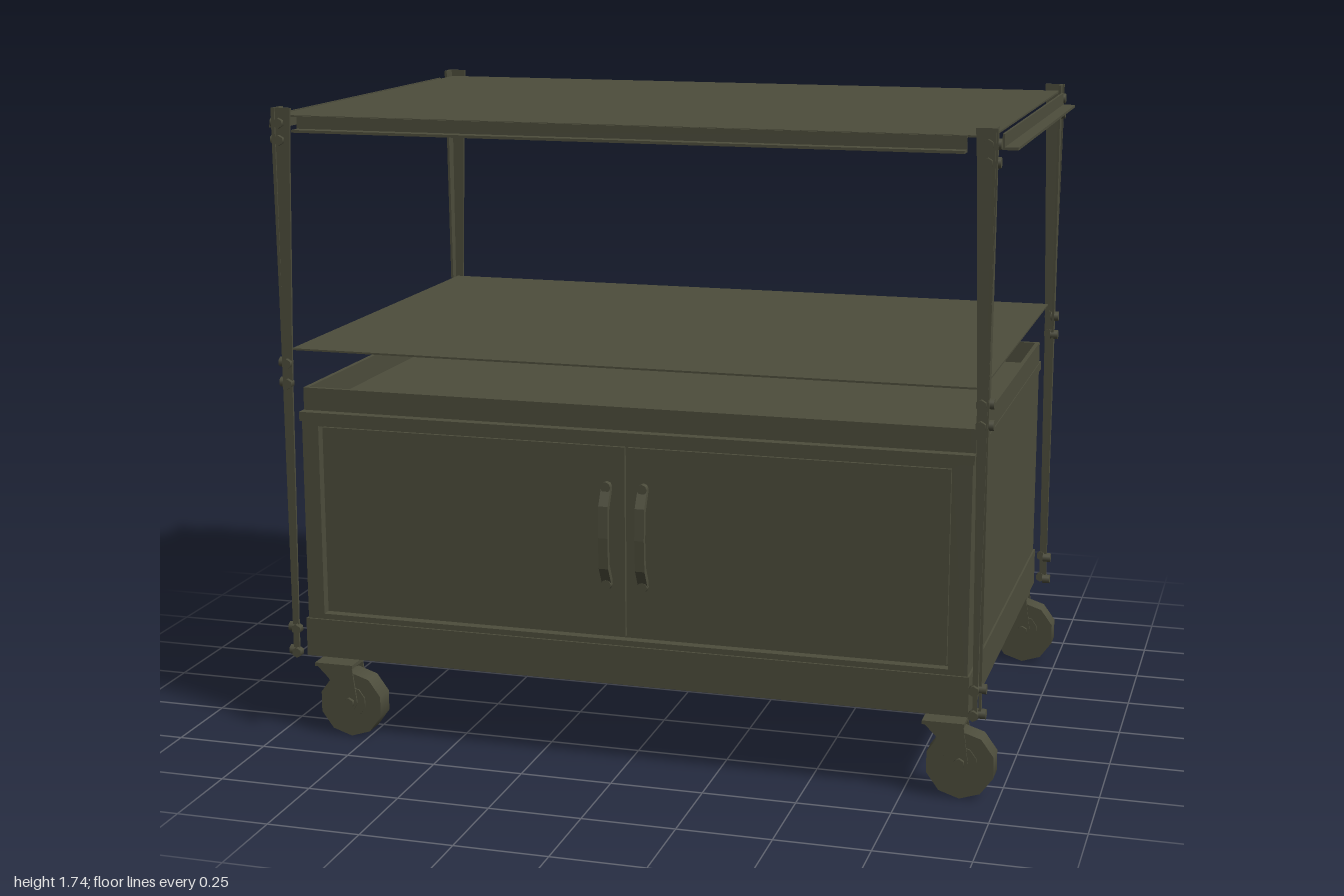
import * as THREE from 'three';

const olive = new THREE.MeshStandardMaterial({ color: 0x4d4d3c, side: THREE.DoubleSide });
olive.name = 'olive metal';

function add(parent, name, geometry, x = 0, y = 0, z = 0) {
  const mesh = new THREE.Mesh(geometry, olive);
  mesh.name = name;
  mesh.position.set(x, y, z);
  parent.add(mesh);
  return mesh;
}

// Box given by its minimum and maximum on each axis
function span(parent, name, x0, x1, y0, y1, z0, z1) {
  return add(parent, name, new THREE.BoxGeometry(x1 - x0, y1 - y0, z1 - z0),
    (x0 + x1) / 2, (y0 + y1) / 2, (z0 + z1) / 2);
}

function outline(points) {
  return new THREE.Shape(points.map(([x, y]) => new THREE.Vector2(x, y)));
}

function extrude(shape, depth) {
  return new THREE.ExtrudeGeometry(shape, { depth, bevelEnabled: false, curveSegments: 6 });
}

// Short disc whose axis runs along z
function disc(radius, depth, sides) {
  return new THREE.CylinderGeometry(radius, radius, depth, sides).rotateX(Math.PI / 2);
}

function cabinet() {
  const g = new THREE.Group();
  g.name = 'cabinet';
  span(g, 'body', -0.915, 0.915, 0.23, 0.915, -0.612, 0.585);

  // Front frame around the door opening
  const frame = outline([[-0.915, 0.23], [0.915, 0.23], [0.915, 0.915], [-0.915, 0.915]]);
  frame.holes.push(outline([[-0.868, 0.35], [-0.868, 0.88], [0.864, 0.88], [0.864, 0.35]]));
  add(g, 'frontFrame', extrude(frame, 0.027), 0, 0, 0.585);

  // Base tray and upper tray with a raised rim
  span(g, 'baseTray', -0.92, 0.92, 0.228, 0.335, -0.618, 0.618);
  span(g, 'upperLedge', -0.92, 0.92, 0.893, 0.918, -0.618, 0.618);
  for (const s of [-1, 1]) {
    span(g, 'sideRim', s * 0.912 - 0.006, s * 0.912 + 0.006, 0.9, 0.98, -0.59, 0.59);
    span(g, 'longRim', -0.918, 0.918, 0.9, 0.98, s * 0.584 - 0.006, s * 0.584 + 0.006);
  }

  // Double doors with bowed pulls
  span(g, 'rightDoor', -0.862, -0.005, 0.356, 0.874, 0.58, 0.597);
  span(g, 'leftDoor', 0.005, 0.858, 0.356, 0.874, 0.58, 0.597);
  const bow = outline([[0, 0.77], [0.012, 0.77], [0.04, 0.72], [0.045, 0.635], [0.04, 0.55],
    [0.012, 0.5], [0, 0.5], [0, 0.51], [0.026, 0.56], [0.032, 0.635], [0.026, 0.71], [0, 0.76]]);
  for (const x of [-0.053, 0.047]) {
    const pull = add(g, 'doorPull', extrude(bow, 0.026), x + 0.013, 0, 0.595);
    pull.rotation.y = -Math.PI / 2;
    for (const y of [0.5, 0.767]) add(g, 'pullScrew', disc(0.014, 0.02, 8), x, y, 0.605);
  }
  return g;
}

// Tapered angle-iron post; both flanges run inward from the outer corner
function post() {
  const g = new THREE.Group();
  g.name = 'cornerPost';
  const flange = extrude(outline([[0, 1.74], [0, 1.64], [-0.008, 1], [-0.014, 0.25],
    [-0.026, 0.25], [-0.034, 1], [-0.05, 1.64], [-0.055, 1.74]]), 0.007);
  add(g, 'frontFlange', flange, 0, 0, -0.012);
  add(g, 'sideFlange', flange, -0.005, 0, 0).rotation.y = -Math.PI / 2;
  for (const y of [1.7, 1.655, 1.055, 1, 0.31, 0.243]) {
    add(g, 'frontBolt', disc(0.014, 0.022, 6), -0.023, y, -0.004);
    add(g, 'sideBolt', disc(0.014, 0.022, 6), -0.004, y, -0.023).rotation.y = Math.PI / 2;
  }
  return g;
}

// Angle rail along x, with its outer face toward +z
function rail(length) {
  const g = new THREE.Group();
  g.name = 'topRail';
  span(g, 'railFace', -length / 2, length / 2, 1.68, 1.72, -0.04, -0.034);
  span(g, 'railLip', -length / 2, length / 2, 1.68, 1.687, -0.04, 0);
  return g;
}

// Trailing swivel caster
function caster() {
  const g = new THREE.Group();
  g.name = 'caster';
  add(g, 'wheel', disc(0.092, 0.062, 10), 0, 0.092, 0);
  add(g, 'hub', disc(0.045, 0.07, 10), 0, 0.1, 0);
  add(g, 'axle', disc(0.015, 0.1, 6), 0, 0.1, 0);
  span(g, 'forkTop', -0.1, 0.01, 0.197, 0.207, -0.04, 0.04);
  const cheek = extrude(outline([[-0.1, 0.205], [0.008, 0.205], [0.022, 0.1], [0.012, 0.08],
    [-0.012, 0.08], [-0.03, 0.1], [-0.06, 0.165]]), 0.005);
  for (const z of [-0.04, 0.035]) add(g, 'forkCheek', cheek, 0, 0, z);
  return g;
}

export function createModel() {
  const model = new THREE.Group();
  model.name = 'utilityCart';
  model.add(cabinet());

  // Thin sheet shelves
  span(model, 'middleShelf', -0.935, 0.935, 1.087, 1.092, -0.615, 0.615);
  span(model, 'topShelf', -0.945, 0.945, 1.716, 1.721, -0.635, 0.635);

  // Posts, turned so each faces its own corner
  [[1, 1, 0], [1, -1, 1], [-1, -1, 2], [-1, 1, 3]].forEach(([sx, sz, turn]) => {
    const p = post();
    p.position.set(sx * 0.96, 0, sz * 0.645);
    p.rotation.y = turn * Math.PI / 2;
    model.add(p);
    const c = caster();
    c.position.set(sx * 0.85 + 0.05, 0, sz * 0.575);
    model.add(c);
  });

  // Rails around the top shelf
  for (const s of [-1, 1]) {
    const long = rail(1.77);
    long.position.z = s * 0.678;
    long.rotation.y = s > 0 ? 0 : Math.PI;
    const short = rail(1.14);
    short.position.x = s;
    short.rotation.y = s * Math.PI / 2;
    model.add(long, short);
  }
  return model;
}
